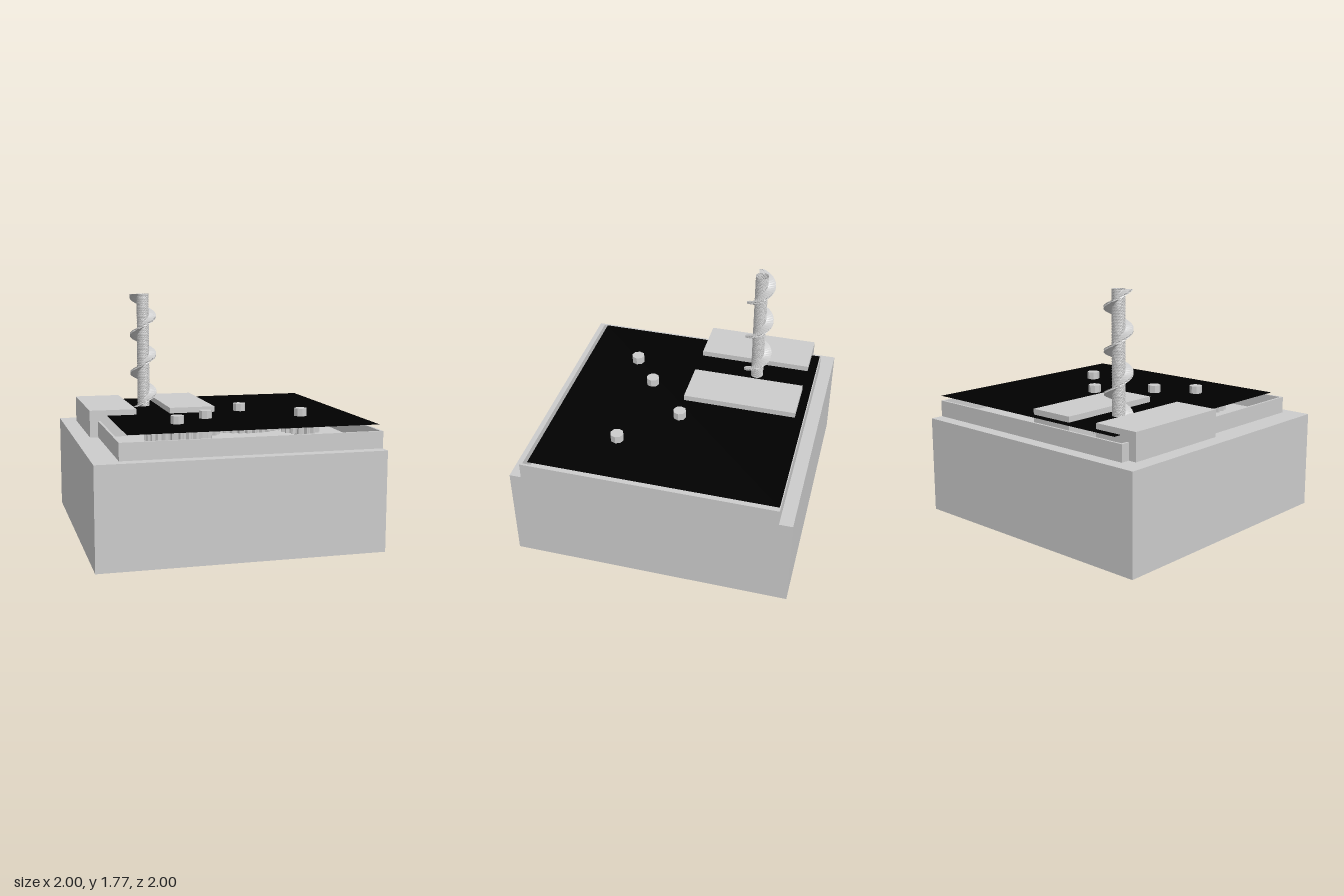
import * as THREE from 'three';

const grey = new THREE.MeshStandardMaterial({ color: 0xcccccc, flatShading: true });
const greyDouble = new THREE.MeshStandardMaterial({ color: 0xcccccc, flatShading: true, side: THREE.DoubleSide });
const black = new THREE.MeshStandardMaterial({ color: 0x000000, side: THREE.DoubleSide });

// Box given by its min and max corners
function box(name, x0, x1, y0, y1, z0, z1) {
  const mesh = new THREE.Mesh(new THREE.BoxGeometry(x1 - x0, y1 - y0, z1 - z0), grey);
  mesh.position.set((x0 + x1) / 2, (y0 + y1) / 2, (z0 + z1) / 2);
  mesh.name = name;
  return mesh;
}

function rectangle(PathType, x0, x1, y0, y1) {
  return new PathType().moveTo(x0, y0).lineTo(x1, y0).lineTo(x1, y1).lineTo(x0, y1).closePath();
}

// Extrude a plan-view shape upward from y0 to y1
function extrudeUp(name, shape, y0, y1) {
  const geometry = new THREE.ExtrudeGeometry(shape, { depth: y1 - y0, bevelEnabled: false });
  geometry.rotateX(-Math.PI / 2);
  const mesh = new THREE.Mesh(geometry, grey);
  mesh.position.y = y0;
  mesh.name = name;
  return mesh;
}

// Thin-walled rim standing in the top of the base
function makeRim() {
  const x0 = -0.825, x1 = 1, z0 = -0.905, z1 = 0.915, wall = 0.017;
  const shape = rectangle(THREE.Shape, x0, x1, -z1, -z0);
  shape.holes.push(rectangle(THREE.Path, x0 + wall, x1 - wall, -z1 + wall, -z0 - wall));
  return extrudeUp('rim', shape, 0.6, 0.87);
}

// Toothed wheel hidden under the cover
function makeGear(x, z, radius) {
  const teeth = Math.round(radius * 110);
  const points = [];
  for (let i = 0; i < teeth; i++) {
    [[0, -0.022], [0.25, 0], [0.5, 0], [0.75, -0.022]].forEach(([part, dr]) => {
      const a = ((i + part) / teeth) * Math.PI * 2;
      points.push(new THREE.Vector2(Math.cos(a) * (radius + dr), Math.sin(a) * (radius + dr)));
    });
  }
  const gear = extrudeUp('gear', new THREE.Shape(points), 0.79, 0.893);
  gear.position.x = x;
  gear.position.z = z;
  return gear;
}

// Open tube with one lug, twisted upward into a screw
function makeAuger() {
  const height = 1.775, pitch = 0.295, steps = 180, r = 0.047, half = 0.016;
  const ring = [[0.1, -half], [0.1, half]];
  const start = Math.asin(half / r), arcs = 14;
  for (let i = 0; i <= arcs; i++) {
    const a = start + (i / arcs) * (Math.PI * 2 - 2 * start);
    ring.push([r * Math.cos(a), r * Math.sin(a)]);
  }
  const n = ring.length, positions = [], index = [];
  for (let s = 0; s <= steps; s++) {
    const y = (s / steps) * height;
    const turn = ((y - 1.32) / pitch) * Math.PI * 2;
    const c = Math.cos(turn), d = Math.sin(turn);
    ring.forEach(([u, v]) => positions.push(u * c - v * d, y, -(u * d + v * c)));
    if (s === steps) break;
    for (let i = 0; i < n; i++) {
      const a = s * n + i, b = s * n + ((i + 1) % n);
      index.push(a, b, b + n, a, b + n, a + n);
    }
  }
  // Close the seam where the lug root meets the tube
  for (let s = 0; s < steps; s++) {
    const a = s * n + 2, b = s * n + n - 1;
    index.push(b, a, a + n, b, a + n, b + n);
  }
  const indexed = new THREE.BufferGeometry();
  indexed.setAttribute('position', new THREE.Float32BufferAttribute(positions, 3));
  indexed.setIndex(index);
  const geometry = indexed.toNonIndexed();
  geometry.computeVertexNormals();
  const mesh = new THREE.Mesh(geometry, greyDouble);
  mesh.name = 'auger';
  mesh.position.set(-0.4, 0, -0.47);
  return mesh;
}

export function createModel() {
  const model = new THREE.Group();
  model.name = 'gearedAugerBox';

  // Base block and rim
  model.add(box('base', -1, 0.998, 0.043, 0.75, -1, 1), makeRim());

  // Support blocks either side of the auger
  model.add(box('outerSupport', -0.885, -0.54, 0.745, 0.947, -0.84, -0.01));
  model.add(box('innerSupport', -0.29, 0.053, 0.745, 0.947, -0.84, -0.01));

  // Thin dark cover sheet
  const cover = new THREE.Mesh(new THREE.PlaneGeometry(1.76, 1.755), black);
  cover.rotation.x = -Math.PI / 2;
  cover.position.set(0.12, 0.906, -0.025);
  cover.name = 'cover';
  model.add(cover);

  // Octagonal shafts with their gears
  [[-0.34, 0.46, 0.23], [-0.09, 0.27, 0.1], [0.25, -0.03, 0.36], [0.61, 0.33, 0.14]].forEach(([x, z, r]) => {
    const shaft = new THREE.Mesh(new THREE.CylinderGeometry(0.048, 0.048, 0.962, 8), grey);
    shaft.position.set(x, 0.481, z);
    shaft.name = 'shaft';
    model.add(shaft, makeGear(x, z, r));
  });

  // Screw and its drive gear
  model.add(makeGear(-0.4, -0.47, 0.18), makeAuger());
  return model;
}
